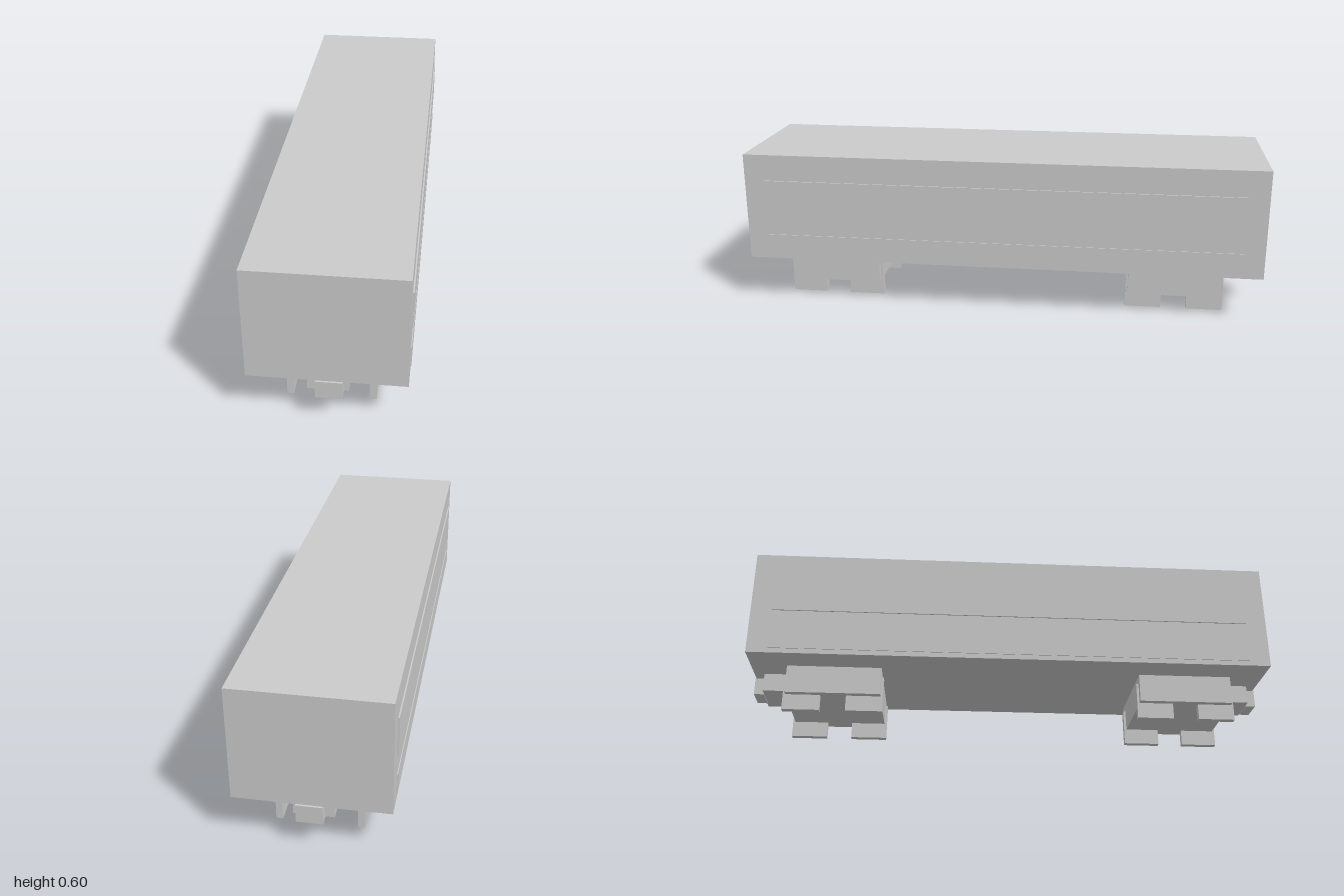
import * as THREE from 'three';

const material = new THREE.MeshStandardMaterial({ color: 0xcccccc, flatShading: true });

// Box given by its extents along each axis
function box(name, [x0, x1], [y0, y1], [z0, z1]) {
  const mesh = new THREE.Mesh(new THREE.BoxGeometry(x1 - x0, y1 - y0, z1 - z0), material);
  mesh.name = name;
  mesh.position.set((x0 + x1) / 2, (y0 + y1) / 2, (z0 + z1) / 2);
  return mesh;
}

// Truck frame with four block wheels, centred on its own z = 0
function makeBogie(name, z) {
  const bogie = new THREE.Group();
  bogie.name = name;
  bogie.position.z = z;
  bogie.add(box('bogieFrame', [-0.18, 0.179], [0.061, 0.17], [-0.18, 0.18]));
  for (const x of [-0.145, 0.144]) {
    for (const wz of [-0.119, 0.119]) {
      bogie.add(box('wheel', [x - 0.012, x + 0.012], [0, 0.14], [wz - 0.07, wz + 0.07]));
    }
  }
  return bogie;
}

// Coupler: mounting block and offset head reaching the end of the car
function makeCoupler(name, end) {
  const coupler = new THREE.Group();
  coupler.name = name;
  const span = (a, b) => (end > 0 ? [a, b] : [-b, -a]);
  coupler.add(box('couplerBlock', [-0.071, 0.07], [0.11, 0.182], span(0.844, 0.961)));
  coupler.add(box('couplerHead', [-0.039, 0.053], [0.107, 0.175], span(0.961, 1)));
  return coupler;
}

export function createModel() {
  const car = new THREE.Group();
  car.name = 'railCar';
  car.add(box('body', [-0.27, 0.27], [0.181, 0.602], [-1, 1]));

  // Raised window band and lower stripe on both sides
  for (const [label, side] of [['left', 1], ['right', -1]]) {
    const span = (depth) => (side > 0 ? [0.26, depth] : [-depth, -0.26]);
    car.add(box(label + 'WindowBand', span(0.275), [0.36, 0.5], [-0.92, 0.92]));
    car.add(box(label + 'Stripe', span(0.273), [0.2, 0.28], [-0.92, 0.92]));
  }

  car.add(makeBogie('frontBogie', 0.683), makeBogie('rearBogie', -0.677));
  car.add(makeCoupler('frontCoupler', 1), makeCoupler('rearCoupler', -1));
  return car;
}
